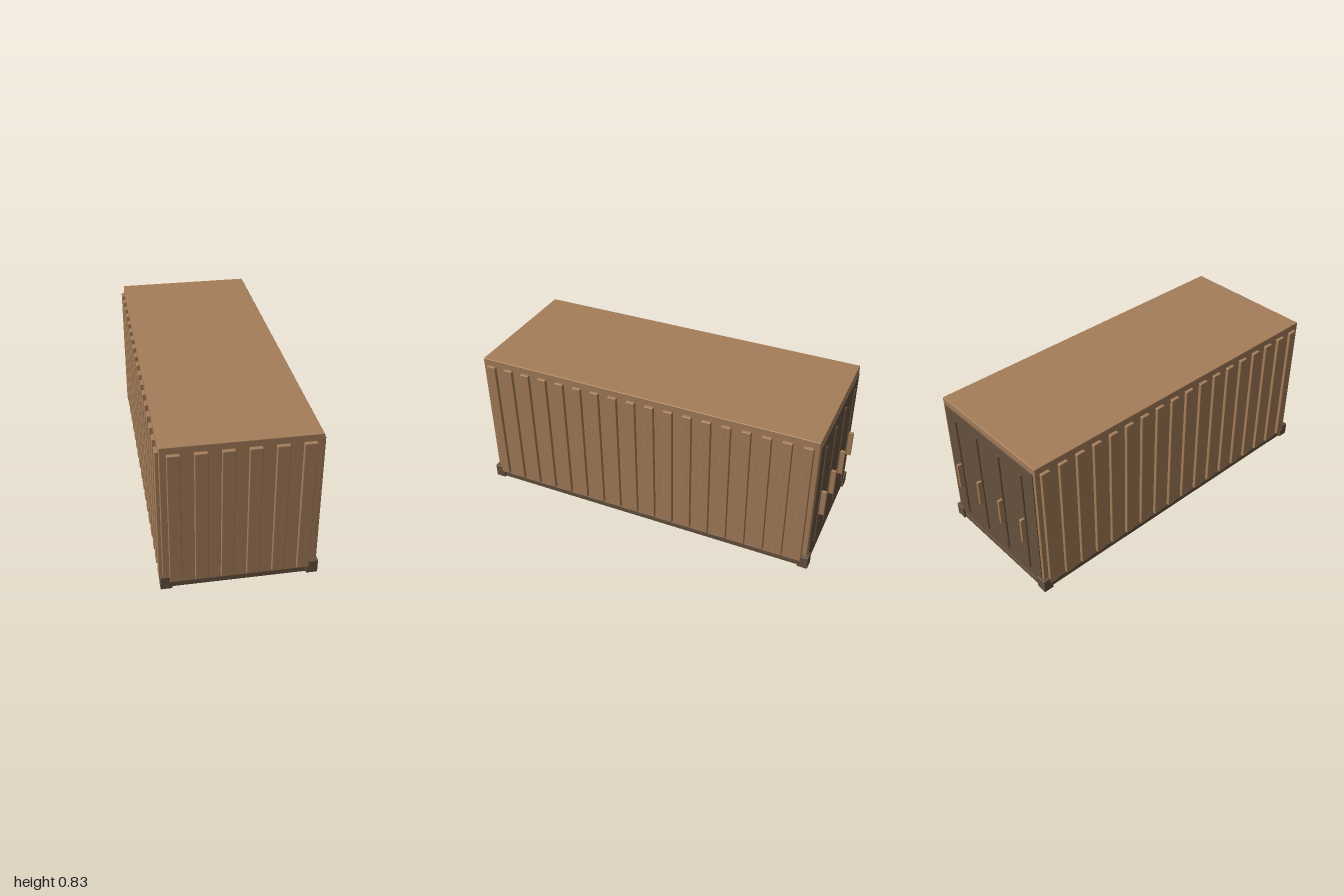
import * as THREE from 'three';
import { RoundedBoxGeometry } from 'three/addons/geometries/RoundedBoxGeometry.js';

export function createModel() {
  const group = new THREE.Group();
  group.name = 'shippingContainer';

  const brown = new THREE.MeshStandardMaterial({ color: 0xa67e5a });
  brown.name = 'containerBrown';
  const dark = new THREE.MeshStandardMaterial({ color: 0x67523f });
  dark.name = 'darkBrown';

  // Softly bevelled box given by its minimum and maximum corners
  function block(name, material, [x0, y0, z0], [x1, y1, z1], bevel = 0.004) {
    const geometry = new RoundedBoxGeometry(x1 - x0, y1 - y0, z1 - z0, 2, bevel);
    const mesh = new THREE.Mesh(geometry, material);
    mesh.position.set((x0 + x1) / 2, (y0 + y1) / 2, (z0 + z1) / 2);
    mesh.name = name;
    group.add(mesh);
    return mesh;
  }

  // Main box and the floor frame under it
  block('body', brown, [-0.39, 0.02, -0.96], [0.39, 0.832, 0.98]);
  block('floorFrame', dark, [-0.392, 0, -0.962], [0.392, 0.03, 0.982], 0.002);

  // Corner feet
  for (const side of [-1, 1]) {
    const x0 = side < 0 ? -0.405 : 0.344;
    for (const [z0, z1] of [[-0.973, -0.914], [0.938, 0.997]]) {
      block('cornerFoot', dark, [x0, 0, z0], [x0 + 0.061, 0.076, z1]);
    }
  }

  // Corrugation ribs on both long sides
  for (let i = 0; i < 18; i++) {
    const z = 0.01 + (i - 8.5) * 0.1078;
    block('leftRib', brown, [0.38, 0.042, z - 0.026], [0.408, 0.795, z + 0.026]);
    block('rightRib', brown, [-0.408, 0.042, z - 0.026], [-0.38, 0.795, z + 0.026]);
  }

  // Wider ribs on the front wall
  for (let i = 0; i < 6; i++) {
    const x = (i - 2.5) * 0.13;
    block('frontRib', brown, [x - 0.032, 0.042, 0.97], [x + 0.032, 0.795, 1]);
  }

  // Door panel, locking bars and handles at the back
  block('doorPanel', dark, [-0.372, 0.04, -0.965], [0.372, 0.795, -0.957], 0.001);
  const barGeometry = new THREE.CylinderGeometry(0.009, 0.009, 0.64, 12);
  for (let i = 0; i < 4; i++) {
    const x = (i - 1.5) * 0.187;
    const bar = new THREE.Mesh(barGeometry, dark);
    bar.name = 'lockingBar';
    bar.position.set(x, 0.42, -0.966);
    group.add(bar);
    block('doorHandle', brown, [x - 0.008, 0.3, -1], [x + 0.008, 0.455, -0.972], 0.002);
  }

  return group;
}
